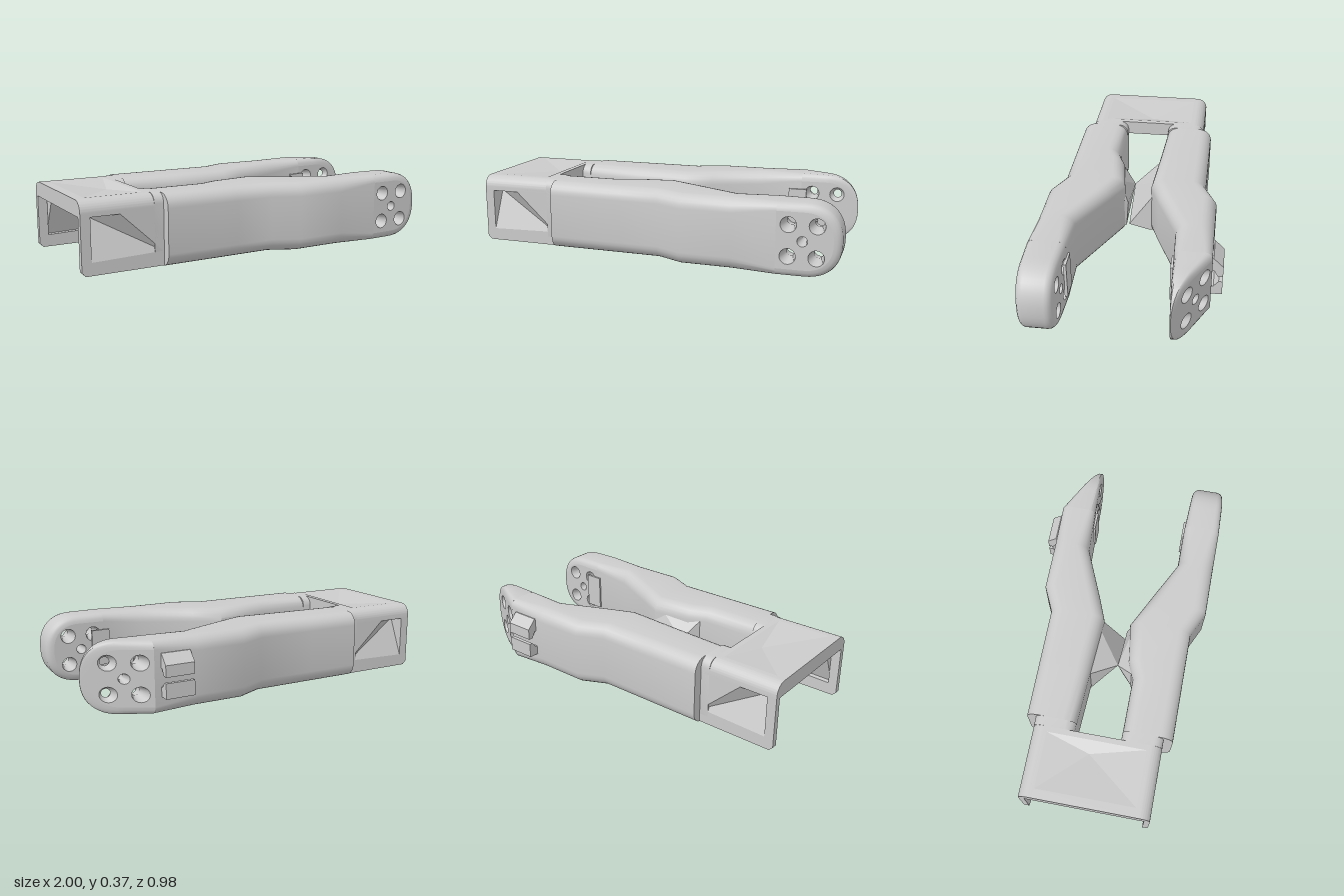
import * as THREE from 'three';
import { toCreasedNormals } from 'three/addons/utils/BufferGeometryUtils.js';
import { ConvexGeometry } from 'three/addons/geometries/ConvexGeometry.js';

const H = 0.37, TIP_X = 0.68, ROUND = 0.04;
const lerp = THREE.MathUtils.lerp;
const material = new THREE.MeshStandardMaterial({ color: 0xcccccc, side: THREE.DoubleSide });

function part(name, geometry, crease = 0.6) {
  const mesh = new THREE.Mesh(toCreasedNormals(geometry, crease), material);
  mesh.name = name;
  return mesh;
}

// Skin over rings of equal length; closed rings wrap round, caps fan to the middle
function loft(rings, closed) {
  const n = rings[0].length, index = [], points = rings.flat();
  for (let i = 0; i < rings.length - 1; i++)
    for (let j = 0; j < (closed ? n : n - 1); j++) {
      const a = i * n + j, b = i * n + (j + 1) % n;
      index.push(a, b, a + n, b, b + n, a + n);
    }
  if (closed) [0, rings.length - 1].forEach((r, end) => {
    const mid = new THREE.Vector3();
    rings[r].forEach(p => mid.addScaledVector(p, 1 / n));
    points.push(mid);
    for (let j = 0; j < n; j++) {
      const a = r * n + j, b = r * n + (j + 1) % n, c = points.length - 1;
      index.push(...(end ? [a, b, c] : [b, a, c]));
    }
  });
  const g = new THREE.BufferGeometry().setFromPoints(points);
  g.setIndex(index);
  return g;
}

// Rounded-rectangle section of an arm at x
function section([x, zIn, zOut, r]) {
  const lo = Math.min(zIn, zOut), hi = Math.max(zIn, zOut), ring = [];
  [[hi - r, H - r], [lo + r, H - r], [lo + r, r], [hi - r, r]].forEach(([z, y], q) => {
    for (let k = 0; k <= 6; k++) {
      const a = (q + k / 6) * Math.PI / 2;
      ring.push(new THREE.Vector3(x, y + r * Math.sin(a), z + r * Math.cos(a)));
    }
  });
  return ring;
}

// Blunt round outline of a tip, inset by d
function tipOutline(d) {
  const R = H / 2 - d, pts = [new THREE.Vector2(TIP_X, H - d)];
  for (let k = 0; k <= 24; k++) {
    const a = Math.PI * (0.5 - k / 24), c = Math.max(0, Math.cos(a)), s = Math.sin(a);
    pts.push(new THREE.Vector2(0.815 + R * c ** 0.85, H / 2 + R * Math.sign(s) * Math.abs(s) ** 0.85));
  }
  pts.push(new THREE.Vector2(TIP_X, d));
  return pts;
}

// Drilled end of an arm; zIn and zOut each run from the arm to the very tip
function armTip(zIn, zOut) {
  const group = new THREE.Group();
  group.name = 'armTip';
  const depth = (x, f) => {
    const t = (x - TIP_X) / (1 - TIP_X);
    return lerp(lerp(zIn[0], zIn[1], t), lerp(zOut[0], zOut[1], t), f);
  };
  const rim = [];
  for (let k = 0; k <= 9; k++) {
    const a = (k < 5 ? k : 9 - k) / 4 * Math.PI / 2;
    const f = 0.2 * (1 - Math.cos(a));
    rim.push(tipOutline(ROUND * (1 - Math.sin(a)))
      .map(p => new THREE.Vector3(p.x, p.y, depth(p.x, k < 5 ? f : 1 - f))));
  }
  group.add(part('tipRim', loft(rim, false)));

  const holes = [[0.74, 0.265, 0.04], [0.74, 0.105, 0.04], [0.88, 0.265, 0.04], [0.88, 0.105, 0.04], [0.81, 0.185, 0.026]];
  for (const f of [0, 1]) {
    const shape = new THREE.Shape(tipOutline(ROUND));
    for (const [x, y, r] of holes)
      shape.holes.push(new THREE.Path().absarc(x, y, r, 0, Math.PI * 2, true));
    const g = new THREE.ShapeGeometry(shape, 10), p = g.attributes.position;
    for (let i = 0; i < p.count; i++) p.setZ(i, depth(p.getX(i), f));
    group.add(part('tipFace', g));
  }
  // Holes narrow towards the middle
  for (const [x, y, r] of holes) {
    const profile = [[r, 0], [r * 0.55, 0.5], [r, 1]].map(v => new THREE.Vector2(...v));
    const g = new THREE.LatheGeometry(profile, 20).rotateX(Math.PI / 2).translate(x, y, 0);
    const p = g.attributes.position;
    for (let i = 0; i < p.count; i++) p.setZ(i, depth(p.getX(i), p.getZ(i)));
    group.add(part('tipHole', g));
  }
  return group;
}

// Flat plate facing +z with a pyramid-shaped dent
function dentedPlate(name, outline, dent, apex, thickness) {
  const v2 = list => list.map(p => new THREE.Vector2(...p));
  const shape = new THREE.Shape(v2(outline));
  shape.holes.push(new THREE.Path(v2(dent)));
  const group = new THREE.Group();
  group.name = name;
  group.add(part('plate', new THREE.ExtrudeGeometry(shape, { depth: thickness, bevelEnabled: false }).translate(0, 0, -thickness)));
  const corners = dent.map(p => new THREE.Vector3(...p, 0)), tris = [];
  corners.forEach((c, i) => tris.push(c, corners[(i + 1) % 4], new THREE.Vector3(...apex)));
  const fan = new THREE.BufferGeometry().setFromPoints(tris);
  group.add(part('dent', fan, 0.01));
  return group;
}

function wedge(name, points) {
  return part(name, new ConvexGeometry(points.map(p => new THREE.Vector3(...p))), 0.1);
}

function createModel() {
  const model = new THREE.Group();

  // Arms: x, inner z, outer z, corner radius
  const front = [[-0.62, 0.15, 0.37, 0.05], [-0.57, 0.15, 0.37, 0.05], [-0.57, 0.15, 0.42, 0.07],
    [-0.27, 0.15, 0.42, 0.07], [-0.17, 0.11, 0.42, 0.07], [0.04, 0.08, 0.42, 0.07],
    [0.18, 0.15, 0.485, 0.07], [0.45, 0.285, 0.485, 0.07], [TIP_X, 0.285, 0.485, ROUND]];
  const back = [[-0.62, -0.1, -0.32, 0.05], [-0.57, -0.1, -0.32, 0.05], [-0.57, -0.1, -0.37, 0.07],
    [-0.28, -0.085, -0.37, 0.07], [0.04, -0.065, -0.37, 0.07], [0.18, -0.12, -0.435, 0.07],
    [0.45, -0.235, -0.435, 0.07], [TIP_X, -0.245, -0.435, ROUND]];
  model.add(part('frontArm', loft(front.map(section), true)));
  model.add(part('backArm', loft(back.map(section), true)));
  model.add(armTip([0.285, 0.3], [0.485, 0.475]));
  model.add(armTip([-0.245, -0.255], [-0.435, -0.262]));

  // Faceted wedges that meet between the arms
  model.add(wedge('backWedge', [[-0.34, 0.35, -0.17], [0.06, 0.36, -0.14], [-0.17, 0.2, 0.05], [0.04, 0.055, 0.06],
    [0.05, 0.03, -0.06], [-0.28, 0.03, -0.09], [-0.2, 0.03, -0.2], [0.04, 0.05, -0.2]]));
  model.add(wedge('frontWedge', [[-0.27, 0.35, 0.18], [-0.17, 0.2, 0.05], [0.04, 0.2, 0.065], [0.04, 0.05, 0.075],
    [0.04, 0.345, 0.11], [-0.17, 0.06, 0.08], [-0.27, 0.03, 0.18], [0.1, 0.03, 0.18], [0.1, 0.34, 0.18]]));

  // Raised pads on the inner faces of the tips
  for (const [z, x] of [[0.283, 0.7], [-0.24, 0.66]]) {
    const pad = part('innerPad', new THREE.BoxGeometry(0.1, 0.2, 0.016));
    pad.position.set(x, H / 2, z);
    model.add(pad);
  }

  // Pair of hooked clips on the back arm: z, y profiles swept along x
  const clips = [
    [[-0.42, 0.31], [-0.44, 0.31], [-0.49, 0.26], [-0.49, 0.2], [-0.465, 0.2], [-0.445, 0.235], [-0.42, 0.235]],
    [[-0.42, 0.09], [-0.49, 0.09], [-0.49, 0.17], [-0.47, 0.17], [-0.445, 0.14], [-0.42, 0.14]]];
  for (const profile of clips) {
    const shape = new THREE.Shape(profile.map(([z, y]) => new THREE.Vector2(-z, y)));
    model.add(part('clip', new THREE.ExtrudeGeometry(shape, { depth: 0.155, bevelEnabled: false })
      .rotateY(Math.PI / 2).translate(0.49, 0, 0)));
  }

  // Bridge: dented roof, rounded edge beams and dented side plates
  const bridge = new THREE.Group();
  bridge.name = 'bridge';
  const roof = dentedPlate('roof', [[-1, -0.3], [-0.62, -0.3], [-0.62, 0.25], [-1, 0.25]],
    [[-0.95, -0.29], [-0.65, -0.29], [-0.65, 0.24], [-0.95, 0.24]], [-0.72, 0, -0.025], 0.08);
  roof.rotation.x = -Math.PI / 2;
  roof.position.y = H;
  bridge.add(roof);
  for (const [side, z] of [[1, 0.37], [-1, 0.32]]) {
    const beam = new THREE.Shape();
    beam.moveTo(-(z - 0.07), 0.29);
    beam.lineTo(-(z - 0.07), H);
    beam.lineTo(-(z - 0.06), H);
    beam.absarc(-(z - 0.06), H - 0.06, 0.06, Math.PI / 2, Math.PI, false);
    beam.lineTo(-z, 0.29);
    const edge = new THREE.Group();
    edge.name = side > 0 ? 'frontSide' : 'backSide';
    edge.add(part('edgeBeam', new THREE.ExtrudeGeometry(beam, { depth: 0.43, bevelEnabled: false, curveSegments: 8 })
      .rotateY(Math.PI / 2).translate(-1, 0, 0)));
    const plate = dentedPlate('sidePlate', [[-0.98, 0.005], [-0.56, 0.005], [-0.56, 0.31], [-1, 0.31], [-1, 0.025]],
      [[-0.95, 0.07], [-0.575, 0.08], [-0.8, 0.29], [-0.95, 0.29]], [-0.94, 0.28, -0.08], 0.03);
    plate.position.z = z;
    edge.add(plate);
    edge.scale.z = side;
    bridge.add(edge);
  }
  model.add(bridge);
  return model;
}

export { createModel };
